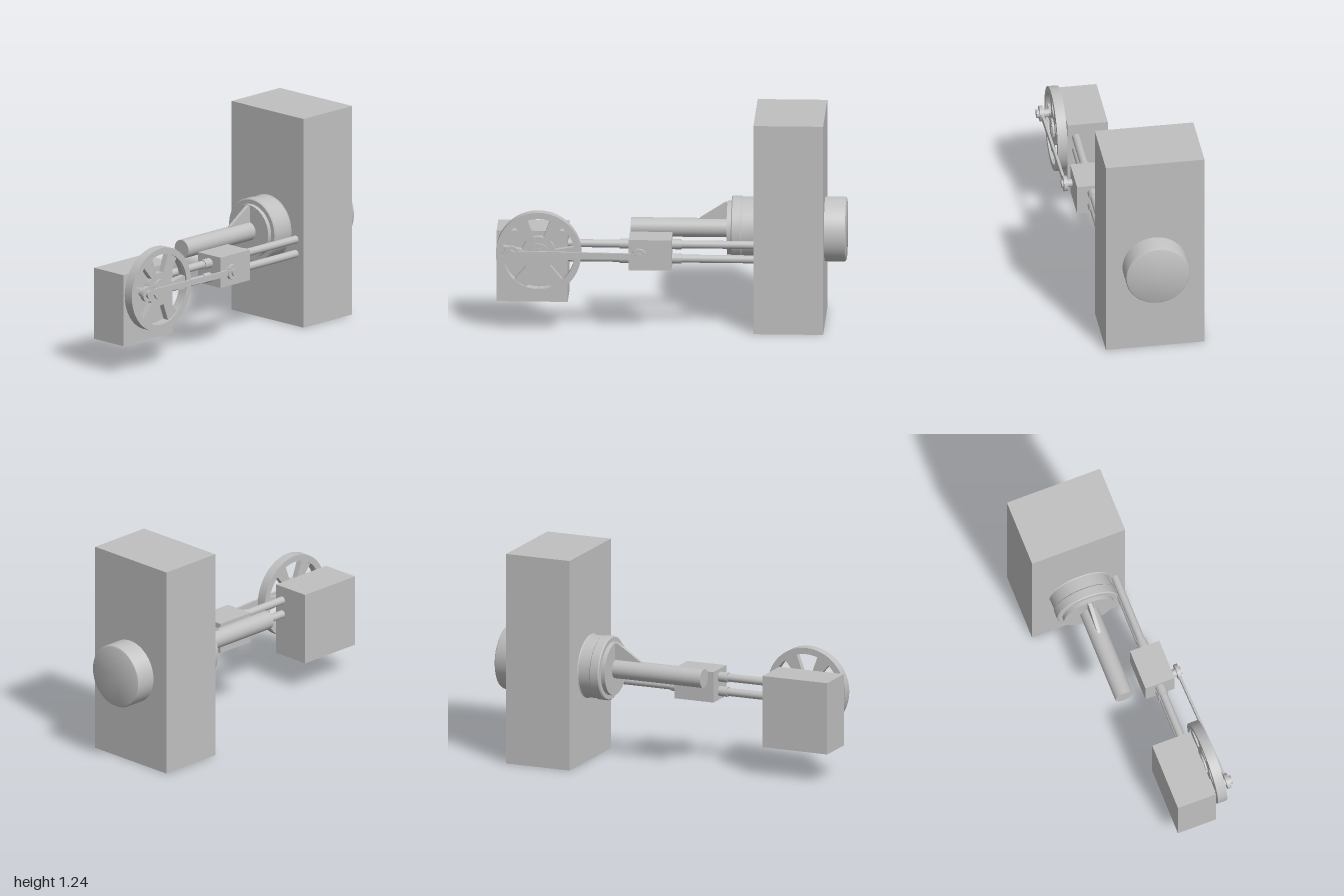
import * as THREE from 'three';
import { toCreasedNormals } from 'three/addons/utils/BufferGeometryUtils.js';

export function createModel() {
  const model = new THREE.Group();
  const steel = new THREE.MeshStandardMaterial({ color: 0xc0c0c0 });
  steel.name = 'steel grey';

  const add = (name, geometry, x = 0, y = 0, z = 0) => {
    const mesh = new THREE.Mesh(geometry, steel);
    mesh.name = name;
    mesh.position.set(x, y, z);
    model.add(mesh);
    return mesh;
  };
  // Box given by its extents
  const block = (name, x0, x1, y0, y1, z0, z1) =>
    add(name, new THREE.BoxGeometry(x1 - x0, y1 - y0, z1 - z0), (x0 + x1) / 2, (y0 + y1) / 2, (z0 + z1) / 2);
  // Cylinders along x and along z
  const rodX = (name, r, x0, x1, y, z) =>
    add(name, new THREE.CylinderGeometry(r, r, x1 - x0, 40).rotateZ(-Math.PI / 2), (x0 + x1) / 2, y, z);
  const rodZ = (name, r, z0, z1, x, y) =>
    add(name, new THREE.CylinderGeometry(r, r, z1 - z0, 40).rotateX(Math.PI / 2), x, y, (z0 + z1) / 2);
  const plate = (shape, depth) => toCreasedNormals(
    new THREE.ExtrudeGeometry(shape, { depth, bevelEnabled: false, curveSegments: 32 }), 0.6);

  // Main housings
  block('mainHousing', 0.475, 0.875, 0, 1.24, -0.345, 0.228);
  block('driveHousing', -1, -0.592, 0.175, 0.597, -0.02, 0.213);

  // Cylinder through the main housing, with stepped front and softly bevelled end
  const barrel = [[0, 0.315], [0.155, 0.315], [0.155, 0.34], [0.18, 0.34], [0.186, 0.346], [0.186, 0.395],
    [0.181, 0.4], [0.181, 0.47], [0.186, 0.475], [0.186, 0.988], [0.182, 0.996], [0.174, 1], [0, 1]]
    .map(([r, x]) => new THREE.Vector2(r, x));
  add('barrel', toCreasedNormals(new THREE.LatheGeometry(barrel, 64).rotateZ(-Math.PI / 2), 0.6), 0, 0.553, -0.055);
  rodX('ramShaft', 0.055, -0.24, 0.33, 0.553, -0.055);

  // Stiffening rib above the shaft
  const rib = new THREE.Shape([[0.155, 0.6], [0.32, 0.6], [0.32, 0.705], [0.3, 0.705], [0.155, 0.61]]
    .map(([x, y]) => new THREE.Vector2(x, y)));
  add('shaftRib', plate(rib, 0.02), 0, 0, -0.065);

  // Crosshead sliding on two guide rods with bushings
  block('crosshead', -0.24, 0.005, 0.38, 0.56, 0.075, 0.255);
  for (const y of [0.428, 0.513]) {
    rodX('guideRod', 0.023, -0.6, 0.48, y, 0.165);
    rodX('bushing', 0.029, -0.295, -0.235, y, 0.165);
    rodX('bushing', 0.029, 0, 0.06, y, 0.165);
  }

  // Flywheel: rim, six-spoke web, hub and axle
  const wx = -0.757, wy = 0.478;
  const rim = new THREE.Shape().absarc(0, 0, 0.245, 0, Math.PI * 2);
  rim.holes.push(new THREE.Path().absarc(0, 0, 0.208, 0, Math.PI * 2, true));
  add('flywheelRim', plate(rim, 0.057), wx, wy, 0.226);
  const web = new THREE.Shape().absarc(0, 0, 0.212, 0, Math.PI * 2);
  for (let i = 0; i < 6; i++) {
    const a = i * Math.PI / 3 + 0.2, b = (i + 1) * Math.PI / 3 - 0.2;
    const win = new THREE.Path();
    win.absarc(0, 0, 0.207, a, b, false);
    win.absarc(0, 0, 0.098, b - 0.03, a + 0.03, true);
    win.closePath();
    web.holes.push(win);
  }
  add('flywheelSpokes', plate(web, 0.035), wx, wy, 0.236);
  rodZ('flywheelHub', 0.06, 0.226, 0.283, wx, wy);
  rodZ('axle', 0.035, 0.2, 0.285, wx, wy);

  // Connecting rod with an eye and a pin at each end
  const crank = new THREE.Vector3(-0.91, 0.488, 0.315);
  const wrist = new THREE.Vector3(-0.18, 0.473, 0.295);
  rodZ('crankPin', 0.024, 0.26, 0.345, crank.x, crank.y);
  rodZ('wristPin', 0.022, 0.24, 0.317, wrist.x, wrist.y);
  rodZ('crankEye', 0.045, 0.305, 0.328, crank.x, crank.y);
  rodZ('wristEye', 0.045, 0.285, 0.306, wrist.x, wrist.y);
  const span = wrist.clone().sub(crank);
  const bar = add('connectingRod', new THREE.BoxGeometry(span.length(), 0.034, 0.014));
  bar.position.copy(crank).add(wrist).multiplyScalar(0.5);
  bar.quaternion.setFromUnitVectors(new THREE.Vector3(1, 0, 0), span.normalize());

  return model;
}
